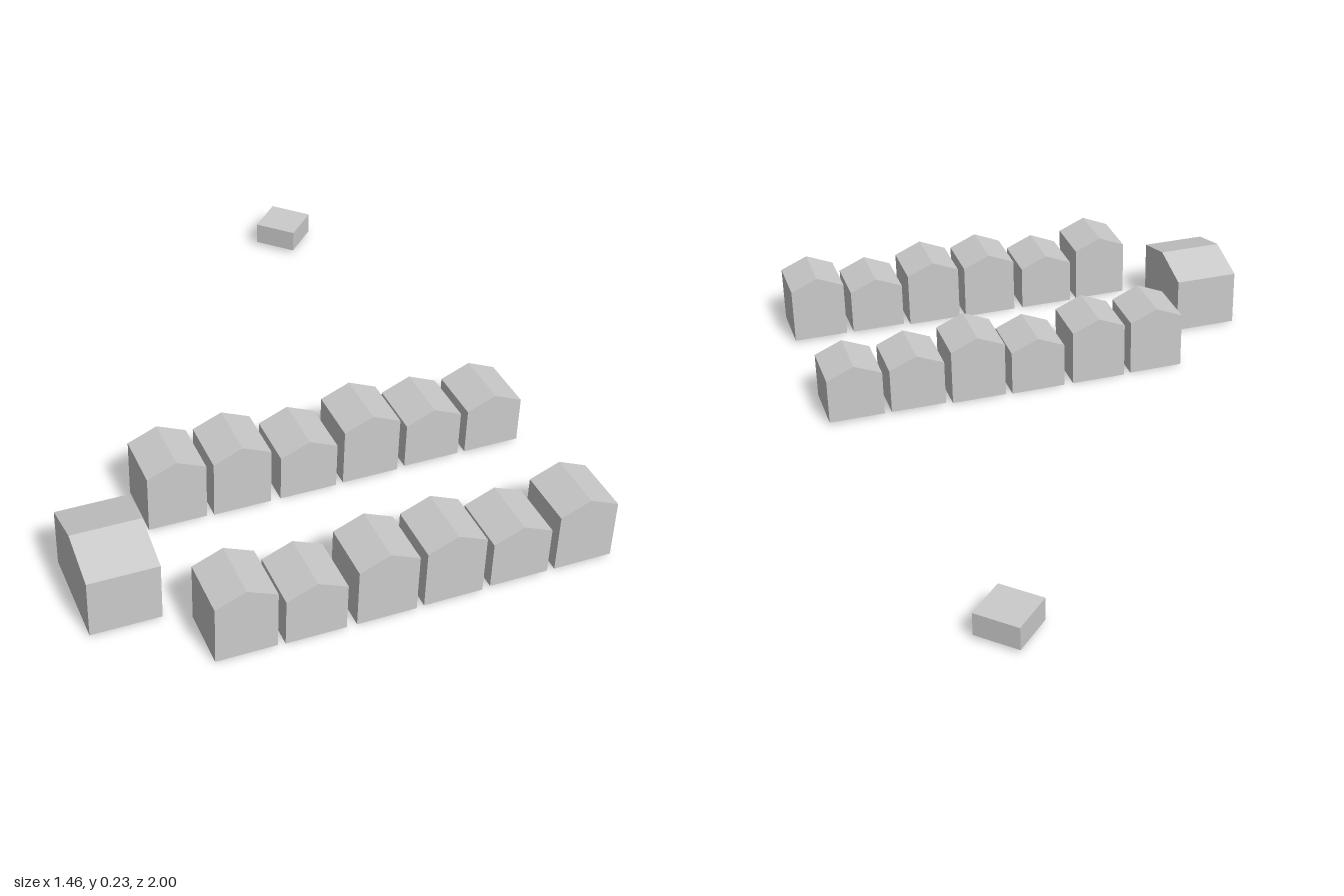
import * as THREE from 'three';

const material = new THREE.MeshStandardMaterial({ color: 0xcccccc, flatShading: true });

// Gabled block: ridge runs along local z, base at y = 0
function gabledHouse(name, width, depth, eave, peak) {
  const w = width / 2;
  const shape = new THREE.Shape([
    new THREE.Vector2(-w, 0),
    new THREE.Vector2(w, 0),
    new THREE.Vector2(w, eave),
    new THREE.Vector2(0, peak),
    new THREE.Vector2(-w, eave),
  ]);
  const geometry = new THREE.ExtrudeGeometry(shape, { depth, bevelEnabled: false });
  geometry.translate(0, 0, -depth / 2);
  const mesh = new THREE.Mesh(geometry, material);
  mesh.name = name;
  return mesh;
}

export function createModel() {
  const village = new THREE.Group();
  village.name = 'village';

  // Two facing rows of six houses, some of them lower
  const columns = [
    { x: -0.363, base: 0.003 },
    { x: -0.164, base: 0 },
    { x: 0.043, base: 0 },
    { x: 0.242, base: 0.003 },
    { x: 0.442, base: 0.009 },
    { x: 0.642, base: 0.009 },
  ];
  const rows = [
    { name: 'frontRow', z: 0.91, low: [1, 4] },
    { name: 'backRow', z: 0.351, low: [2, 4, 5] },
  ];
  for (const row of rows) {
    const group = new THREE.Group();
    group.name = row.name;
    columns.forEach(({ x, base }, i) => {
      const eave = row.low.includes(i) ? 0.148 : 0.183;
      const house = gabledHouse(`house${i + 1}`, 0.177, 0.18, eave, eave + 0.038);
      house.position.set(x, base, row.z);
      group.add(house);
    });
    village.add(group);
  }

  // Larger hall at the end of the street, ridge across it
  const hall = gabledHouse('hall', 0.31, 0.206, 0.183, 0.225);
  hall.rotation.y = Math.PI / 2;
  hall.position.set(-0.63, 0.004, 0.636);
  village.add(hall);

  // Low flat-roofed shed standing apart, turned by 45 degrees
  const side = 0.2 / Math.SQRT2;
  const shed = new THREE.Mesh(new THREE.BoxGeometry(side, 0.072, side), material);
  shed.name = 'shed';
  shed.rotation.y = Math.PI / 4;
  shed.position.set(0.494, 0.048, -0.9);
  village.add(shed);

  return village;
}
